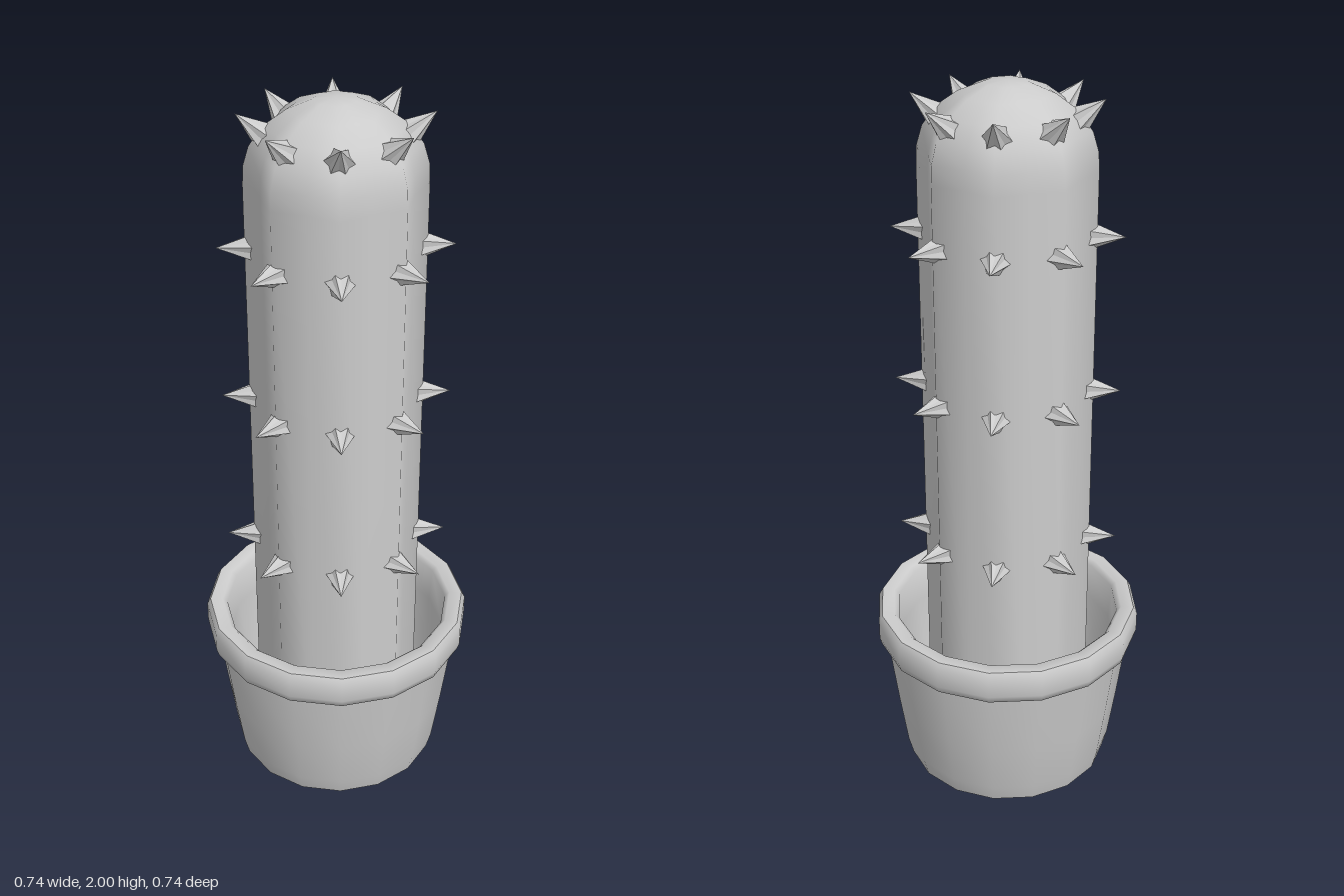
import * as THREE from 'three';
import { toCreasedNormals } from 'three/addons/utils/BufferGeometryUtils.js';

const material = new THREE.MeshStandardMaterial({ color: 0xcccccc });
const spineMaterial = new THREE.MeshStandardMaterial({ color: 0xcccccc, flatShading: true });
const SIDES = 16;
const RIBS = 8;

const lathe = (points) =>
  new THREE.LatheGeometry(points.map(([r, y]) => new THREE.Vector2(r, y)), SIDES);

// Hollow pot with a thick rim
function makePot() {
  const geometry = lathe([
    [0, 0], [0.24, 0.003], [0.285, 0.02], [0.298, 0.07], [0.32, 0.22], [0.345, 0.41],
    [0.364, 0.42], [0.37, 0.44], [0.37, 0.495], [0.36, 0.513], [0.325, 0.513],
    [0.312, 0.5], [0.305, 0.4], [0.28, 0.22], [0.255, 0.11], [0.21, 0.08], [0, 0.08],
  ]);
  const pot = new THREE.Mesh(toCreasedNormals(geometry, 0.9), material);
  pot.name = 'pot';
  return pot;
}

// Ribbed column with a domed top: every second side line is pushed out into a ridge
function makeStem() {
  const geometry = lathe([
    [0, 0.07], [0.2, 0.07], [0.2, 1.78], [0.198, 1.83], [0.185, 1.88],
    [0.155, 1.93], [0.105, 1.97], [0.05, 1.995], [0, 2],
  ]);
  const pos = geometry.attributes.position;
  for (let i = 0; i < pos.count; i++) {
    const angle = Math.atan2(pos.getX(i), pos.getZ(i));
    const ridge = (1 - Math.cos(angle * RIBS)) / 2;
    const scale = 1 + 0.14 * ridge;
    pos.setXYZ(i, pos.getX(i) * scale, pos.getY(i), pos.getZ(i) * scale);
  }
  const stem = new THREE.Mesh(toCreasedNormals(geometry, 1.2), material);
  stem.name = 'stem';
  return stem;
}

// Pointed spine with a fluted, star-shaped base; base at the origin, tip along +y
function makeSpineGeometry(length) {
  const geometry = new THREE.ConeGeometry(0.038, length, 12, 1);
  geometry.translate(0, length / 2, 0);
  const pos = geometry.attributes.position;
  for (let i = 0; i < pos.count; i++) {
    const angle = Math.atan2(pos.getX(i), pos.getZ(i));
    const scale = 0.88 + 0.12 * Math.cos(angle * 6);
    pos.setX(i, pos.getX(i) * scale);
    pos.setZ(i, pos.getZ(i) * scale);
  }
  return geometry;
}

// One ring of spines, one on each ridge, tilted upward by the given angle
function makeSpineRing(name, y, radius, length, tilt) {
  const ring = new THREE.Group();
  ring.name = name;
  const geometry = makeSpineGeometry(length);
  const up = new THREE.Vector3(0, 1, 0);
  for (let i = 0; i < RIBS; i++) {
    const angle = ((i + 0.5) / RIBS) * Math.PI * 2;
    const outward = new THREE.Vector3(Math.sin(angle), 0, Math.cos(angle));
    const spine = new THREE.Mesh(geometry, spineMaterial);
    spine.name = 'spine';
    spine.position.copy(outward).multiplyScalar(radius).setY(y);
    const direction = outward.multiplyScalar(Math.cos(tilt)).setY(Math.sin(tilt));
    spine.quaternion.setFromUnitVectors(up, direction);
    ring.add(spine);
  }
  return ring;
}

export function createModel() {
  const model = new THREE.Group();
  model.name = 'pottedCactus';
  model.add(makePot(), makeStem());
  [0.745, 1.19, 1.615].forEach((y) => model.add(makeSpineRing('sideSpines', y, 0.205, 0.095, 0)));
  model.add(makeSpineRing('topSpines', 1.905, 0.17, 0.09, 0.68));
  return model;
}
